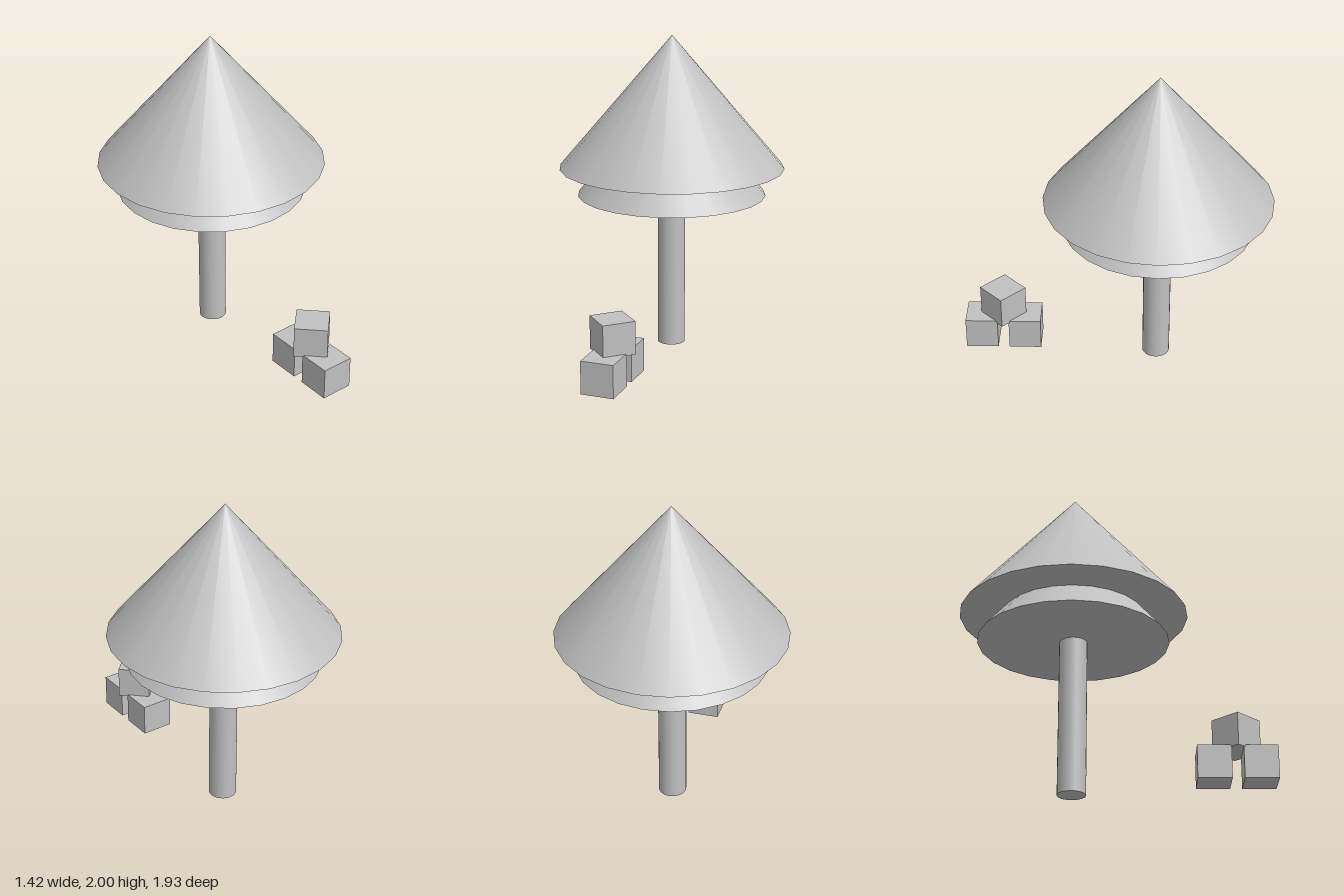
import * as THREE from 'three';

export function createModel() {
  const model = new THREE.Group();
  const grey = new THREE.MeshStandardMaterial({ color: 0xc0c0c0 });
  grey.name = 'plain grey';

  const add = (parent, name, geometry, x, y, z) => {
    const mesh = new THREE.Mesh(geometry, grey);
    mesh.name = name;
    mesh.position.set(x, y, z);
    parent.add(mesh);
    return mesh;
  };

  // Tree: round trunk under two overlapping cones
  const tree = new THREE.Group();
  tree.name = 'tree';
  tree.position.z = -0.255;
  model.add(tree);
  const cone = (name, radius, base, tip) =>
    add(tree, name, new THREE.ConeGeometry(radius, tip - base, 24), 0, (base + tip) / 2, 0);
  add(tree, 'trunk', new THREE.CylinderGeometry(0.087, 0.087, 1.0, 24), 0, 0.5, 0);
  cone('lowerFoliage', 0.595, 0.99, 1.69);
  cone('upperFoliage', 0.71, 1.165, 2);

  // Stack of three cubes, the top one turned by 45 degrees
  const stack = new THREE.Group();
  stack.name = 'cubeStack';
  model.add(stack);
  const cube = new THREE.BoxGeometry(0.205, 0.205, 0.205);
  add(stack, 'frontCube', cube, 0, 0.18, 0.867);
  add(stack, 'backCube', cube, 0, 0.18, 0.59);
  add(stack, 'topCube', cube, 0, 0.373, 0.73).rotation.y = Math.PI / 4;

  return model;
}
